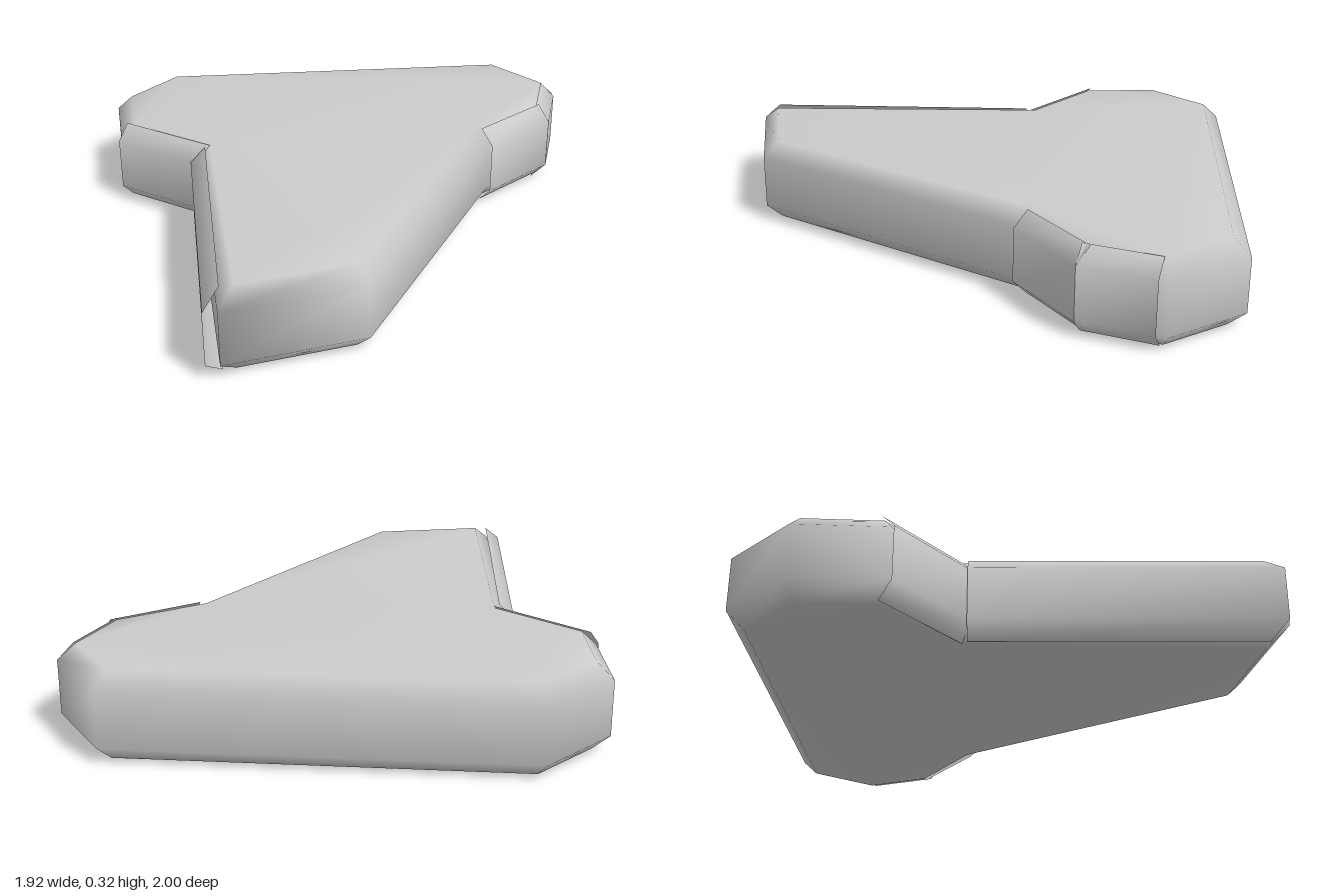
import * as THREE from 'three';

const HEIGHT = 0.325, BEVEL = 0.06;
// Shared edge profile: [inset, y] from the bottom up
const PROFILE = [[BEVEL, 0], [0, BEVEL], [0, HEIGHT - BEVEL], [BEVEL, HEIGHT]];
// Slab outline as [x, z], running clockwise seen from above
const OUTLINE = [
  [-0.74, -0.965], [0.75, -1], [0.96, -0.73], [0.87, -0.43], [0.58, -0.21], [0, 0.865],
  [-0.51, 0.995], [-0.61, -0.15], [-0.92, -0.37], [-0.96, -0.71],
].map(([x, z]) => new THREE.Vector2(x, z));

const inward = (a, b) => {
  const d = b.clone().sub(a).normalize();
  return new THREE.Vector2(-d.y, d.x);
};

// Moves every outline corner inward by t, keeping the edges parallel
function insetOutline(pts, t) {
  const n = pts.length;
  return pts.map((p, i) => {
    const n1 = inward(pts[(i + n - 1) % n], p), n2 = inward(p, pts[(i + 1) % n]);
    return p.clone().addScaledVector(n1.clone().add(n2), t / (1 + n1.dot(n2)));
  });
}

function toMesh(name, pos, idx, material) {
  const g = new THREE.BufferGeometry();
  g.setAttribute('position', new THREE.Float32BufferAttribute(pos, 3));
  g.setIndex(idx);
  g.computeVertexNormals();
  const mesh = new THREE.Mesh(g, material);
  mesh.name = name;
  return mesh;
}

// Closed slab with softly shaded bevels
function slab(material) {
  const n = OUTLINE.length, pos = [], idx = [];
  for (const [inset, y] of PROFILE)
    for (const p of insetOutline(OUTLINE, inset)) pos.push(p.x, y, p.y);
  for (let r = 0; r < PROFILE.length - 1; r++)
    for (let i = 0; i < n; i++) {
      const j = (i + 1) % n, a = r * n + i, b = r * n + j;
      idx.push(a, a + n, b, b, a + n, b + n);
    }
  // Bottom and top caps
  const ring = insetOutline(OUTLINE, BEVEL), top = (PROFILE.length - 1) * n;
  for (const tri of THREE.ShapeUtils.triangulateShape(ring, [])) {
    let [a, b, c] = tri;
    const turn = ring[b].clone().sub(ring[a]).cross(ring[c].clone().sub(ring[a]));
    if (turn < 0) [b, c] = [c, b];
    idx.push(a, b, c, top + a, top + c, top + b);
  }
  return toMesh('slabBody', pos, idx, material);
}

// Thin bevelled edge strip; trim shortens its inner edges at the first end
function edgePanel(name, [ax, az], [bx, bz], trim, material) {
  const a = new THREE.Vector2(ax, az), b = new THREE.Vector2(bx, bz);
  const n = inward(a, b), d = b.clone().sub(a).normalize(), pos = [], idx = [];
  PROFILE.forEach(([inset, y], k) => {
    const p = a.clone().addScaledVector(n, inset).addScaledVector(d, inset ? trim : 0);
    const q = b.clone().addScaledVector(n, inset);
    pos.push(p.x, y, p.y, q.x, y, q.y);
    if (k) idx.push(2 * k - 2, 2 * k, 2 * k - 1, 2 * k - 1, 2 * k, 2 * k + 1);
  });
  return toMesh(name, pos, idx, material);
}

export function createModel() {
  const group = new THREE.Group();
  group.name = 'bevelledSlab';
  const solid = new THREE.MeshStandardMaterial({ color: 0xcccccc });
  const thin = new THREE.MeshStandardMaterial({ color: 0xcccccc, side: THREE.DoubleSide });
  group.add(
    slab(solid),
    edgePanel('leftSidePanel', [0.96, -0.69], [0.88, -0.42], 0, thin),
    edgePanel('leftNotchPanel', [0.88, -0.42], [0.595, -0.19], 0, thin),
    edgePanel('rightLongPanel', [-0.56, 0.99], [-0.63, -0.14], 0.06, thin),
    edgePanel('rightNotchPanel', [-0.58, -0.11], [-0.93, -0.36], 0, thin),
  );
  return group;
}
